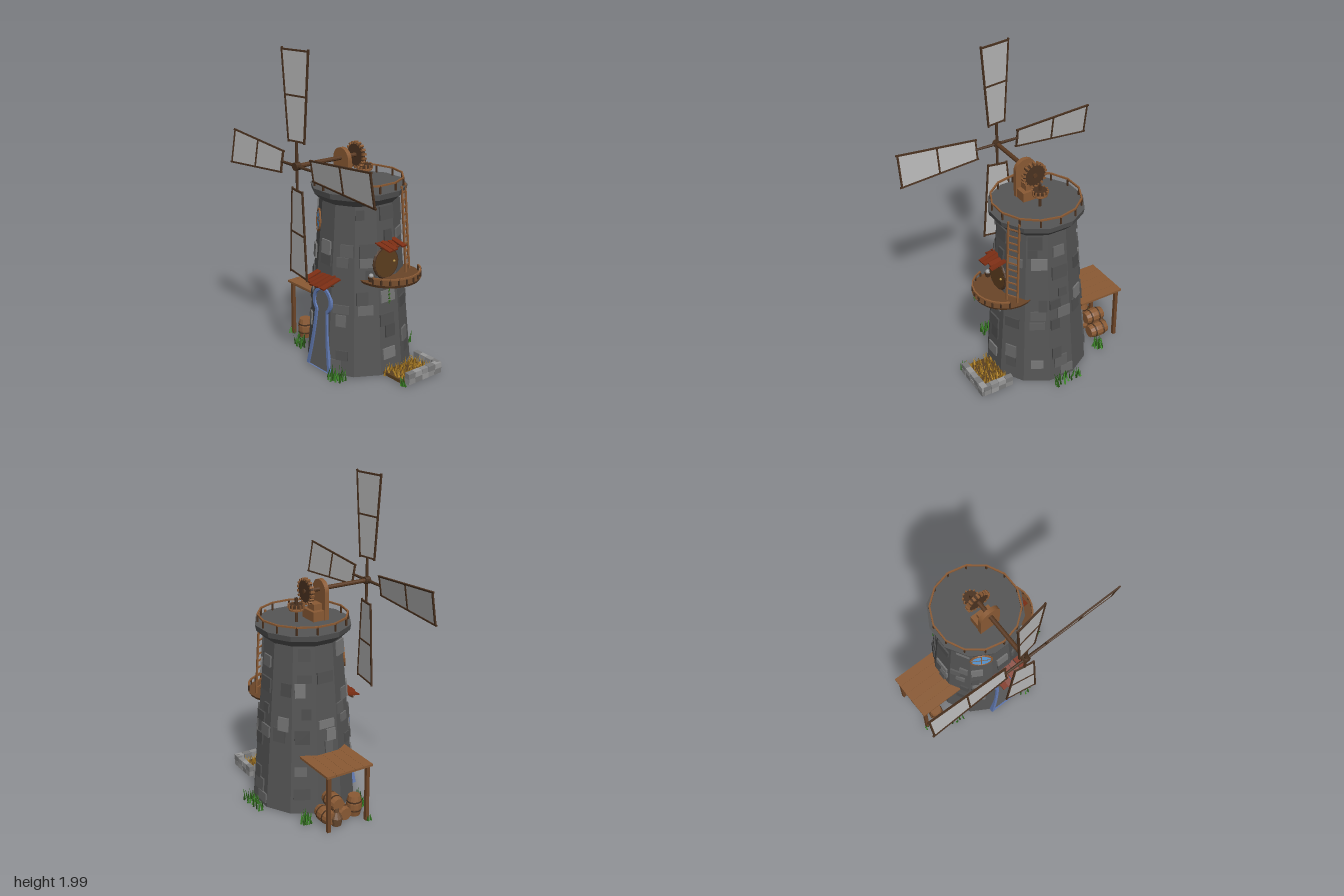
import * as THREE from 'three';

const SIDES = 12, CZ = -0.04, BASE = 0.015;
const mats = {};
const mat = (color) => (mats[color] ??= new THREE.MeshStandardMaterial({ color, flatShading: true, side: THREE.DoubleSide }));
const WOOD = 0x8a5a34, DARK = 0x4a3220, RED = 0x7c2e14, TOWER = 0x555555, BLUE = 0x6078b0;
const V = (x, y, z) => new THREE.Vector3(x, y, z);
let seed = 7;
const rnd = (a = 0, b = 1) => { seed = (seed * 16807) % 2147483647; return a + (b - a) * seed / 2147483647; };

function add(parent, name, geo, color, x = 0, y = 0, z = 0) {
  const m = new THREE.Mesh(geo, mat(color));
  m.name = name;
  m.position.set(x, y, z);
  parent.add(m);
  return m;
}
function group(parent, name, x = 0, y = 0, z = 0) {
  const g = new THREE.Group();
  g.name = name;
  g.position.set(x, y, z);
  parent.add(g);
  return g;
}
const box = (p, name, w, h, d, color, x, y, z) => add(p, name, new THREE.BoxGeometry(w, h, d), color, x, y, z);
const cyl = (p, name, r1, r2, h, n, color, x, y, z) => add(p, name, new THREE.CylinderGeometry(r1, r2, h, n), color, x, y, z);
// Square bar between two points
function bar(p, name, a, b, t, color) {
  const m = box(p, name, t, t, a.distanceTo(b), color);
  m.position.copy(a).add(b).multiplyScalar(0.5);
  m.quaternion.setFromUnitVectors(V(0, 0, 1), b.clone().sub(a).normalize());
  return m;
}
// Wall distance from the tower axis, and placement on the leaning wall
const wall = (y) => 0.315 - 0.078 * y;
function onWall(o, angle, y, out = 0) {
  const r = wall(y) + out;
  o.position.set(Math.sin(angle) * r, y, CZ + Math.cos(angle) * r);
  o.rotation.set(-0.078, angle, 0, 'YXZ');
  return o;
}
// Posts and rail along an arc
function railing(p, cx, y, cz, r, h, from, to, n) {
  const at = (i, yy) => { const a = from + (to - from) * i / n; return V(cx + Math.sin(a) * r, yy, cz + Math.cos(a) * r); };
  for (let i = 0; i <= n; i++) {
    bar(p, 'railPost', at(i, y), at(i, y + h), 0.009, DARK);
    if (i < n) bar(p, 'rail', at(i, y + h), at(i + 1, y + h), 0.01, WOOD);
  }
}

function buildTower(root) {
  const g = group(root, 'tower');
  const k = 1 / Math.cos(Math.PI / SIDES);
  const profile = [[0, BASE], [wall(0), BASE], [wall(1.07), 1.07], [0.278, 1.115], [0.285, 1.15], [0, 1.15]];
  add(g, 'towerWall', new THREE.LatheGeometry(profile.map(([r, y]) => new THREE.Vector2(r * k, y)), SIDES, Math.PI / SIDES), TOWER, 0, 0, CZ);
  railing(g, 0, 1.15, CZ, 0.272, 0.048, 0, Math.PI * 2, 14);
  // Raised stones scattered over the facets
  const greys = [0x4c4c4c, 0x5e5e5e, 0x686868, 0x767676, 0x505050];
  for (let f = 0; f < SIDES; f++) for (let row = 0; row < 14; row++) {
    if (rnd() > 0.45) continue;
    const a = f * Math.PI * 2 / SIDES, y = 0.07 + row * 0.073, w = rnd(0.05, 0.11), h = rnd(0.05, 0.09);
    if (f === 0 && y < 0.62 || f === 11 && Math.abs(y - 0.93) < 0.13 || f === 3 && Math.abs(y - 0.7) < 0.15) continue;
    const s = onWall(box(g, 'stone', w, h, 0.018, greys[Math.floor(rnd(0, 5))]), a, y, 0.002);
    s.translateX(rnd(-0.5, 0.5) * (wall(y) * 0.52 - w));
  }
}

// Keyhole outline: flared foot, narrow neck, round head
function keyhole(path, s) {
  path.moveTo(-0.115 + s, 0);
  path.quadraticCurveTo(-0.07 + s, 0.2, -0.06 + s, 0.37);
  path.absarc(0, 0.44, 0.088 - s, -Math.PI * 0.72, -Math.PI * 0.28, true);
  path.quadraticCurveTo(0.07 - s, 0.2, 0.115 - s, 0);
  path.closePath();
  return path;
}

function buildOpenings(root) {
  // Front door with blue surround
  const door = group(root, 'frontDoor');
  onWall(door, 0, BASE, -0.024);
  const frame = keyhole(new THREE.Shape(), 0);
  frame.holes.push(keyhole(new THREE.Path(), 0.02));
  const ext = (depth) => ({ depth, bevelEnabled: false, curveSegments: 14 });
  add(door, 'doorFrame', new THREE.ExtrudeGeometry(frame, ext(0.038)), BLUE);
  add(door, 'doorPanel', new THREE.ExtrudeGeometry(keyhole(new THREE.Shape(), 0.018), ext(0.027)), 0x606060);
  // Round window
  const win = onWall(group(root, 'roundWindow'), -Math.PI / 6, 0.93, 0.004);
  add(win, 'windowRim', new THREE.TorusGeometry(0.066, 0.007, 6, 20), WOOD);
  add(win, 'windowGlass', new THREE.CircleGeometry(0.066, 20), 0x5a9ad8, 0, 0, 0.003);
  box(win, 'windowBar', 0.007, 0.13, 0.008, WOOD);
  box(win, 'windowBar', 0.13, 0.007, 0.008, WOOD);
  // Round balcony door
  const rd = onWall(group(root, 'balconyDoor'), Math.PI / 2, 0.715, 0.003);
  rd.position.z = -0.03;
  cyl(rd, 'doorDisc', 0.088, 0.088, 0.02, 20, 0x5a3c1e).rotation.x = Math.PI / 2;
  add(rd, 'doorRim', new THREE.TorusGeometry(0.09, 0.01, 6, 20), DARK);
  add(rd, 'doorKnob', new THREE.SphereGeometry(0.008, 8, 6), 0xb08a40, 0.055, 0, 0.015);
  // Ragged plank awnings
  const awning = (angle, y, n, w, len, shift) => {
    const a = group(root, 'awning');
    onWall(a, angle, y, -0.01);
    a.rotation.x = 0.22;
    for (let i = 0; i < n; i++) {
      const l = len * rnd(0.75, 1);
      const p = box(a, 'awningPlank', w * 0.85, 0.01, l, RED, shift + (i - (n - 1) / 2) * w, rnd(-0.004, 0.004), l / 2);
      p.rotation.set(0, rnd(-0.12, 0.12), rnd(-0.15, 0.15));
    }
    box(a, 'awningBeam', n * w, 0.01, 0.012, DARK, shift, -0.01, len * 0.45);
  };
  awning(0, 0.63, 5, 0.044, 0.15, 0.035);
  awning(Math.PI / 2, 0.85, 4, 0.038, 0.13, 0);
}

function buildBalcony(root) {
  const g = group(root, 'balcony');
  cyl(g, 'balconyFloor', 0.2, 0.19, 0.018, 24, 0x6a4528, 0.245, 0.617, -0.07);
  railing(g, 0.245, 0.625, -0.07, 0.193, 0.037, 0.35, Math.PI - 0.35, 9);
  cyl(g, 'pot', 0.02, 0.014, 0.03, 10, DARK, 0.27, 0.64, 0.09);
  add(g, 'lampGlobe', new THREE.SphereGeometry(0.016, 10, 8), 0x999999, 0.27, 0.66, 0.09);
  for (let i = 0; i < 7; i++) {
    const leaf = add(g, 'vineLeaf', new THREE.ConeGeometry(0.006, 0.02, 4), 0x3a6a24, 0.385 + rnd(-0.006, 0.006), 0.6 - i * 0.014, 0.05);
    leaf.rotation.z = rnd(1, 4);
  }
  // Ladder to the roof
  const a = 2.12, s = V(-Math.cos(a), 0, Math.sin(a)).multiplyScalar(0.036);
  const at = (t, side) => {
    const r = 0.315 - 0.035 * t;
    return V(Math.sin(a) * r, 0.615 + 0.55 * t, CZ + Math.cos(a) * r).addScaledVector(s, side);
  };
  for (const side of [-1, 1]) bar(g, 'ladderRail', at(0, side), at(1, side), 0.011, WOOD);
  for (let i = 1; i < 12; i++) bar(g, 'ladderRung', at(i / 12, -1), at(i / 12, 1), 0.008, WOOD);
}

function gear(p, name, r, n, x, y, z) {
  const g = group(p, name, x, y, z);
  cyl(g, 'gearDisc', r * 0.88, r * 0.88, 0.018, 20, DARK);
  for (let i = 0; i < n; i++) {
    const a = i * Math.PI * 2 / n;
    box(g, 'gearTooth', r * 0.16, 0.026, r * 0.2, WOOD, Math.sin(a) * r * 0.9, 0, Math.cos(a) * r * 0.9).rotation.y = a;
  }
  return g;
}

function buildMill(root) {
  // Bearing with rounded head, shaft and gears
  const g = group(root, 'machinery');
  const s = new THREE.Shape();
  s.moveTo(-0.07, 1.15);
  s.lineTo(0.07, 1.15);
  s.absarc(0, 1.32, 0.07, 0, Math.PI, false);
  add(g, 'bearingBoard', new THREE.ExtrudeGeometry(s, { depth: 0.028, bevelEnabled: false }), WOOD, 0, 0, 0.072);
  box(g, 'bearingBlock', 0.13, 0.06, 0.09, WOOD, 0, 1.18, 0.04);
  box(g, 'bearingStep', 0.07, 0.045, 0.06, WOOD, 0, 1.225, 0.045);
  cyl(g, 'shaft', 0.014, 0.014, 0.47, 10, 0x5a3a22, 0, 1.33, 0.2).rotation.x = Math.PI / 2;
  gear(g, 'wheelGear', 0.082, 18, 0, 1.33, -0.02).rotation.x = Math.PI / 2;
  gear(g, 'lanternGear', 0.052, 12, 0, 1.25, -0.085);
  cyl(g, 'lanternCap', 0.045, 0.045, 0.008, 16, WOOD, 0, 1.228, -0.085);
  cyl(g, 'uprightShaft', 0.01, 0.01, 0.15, 8, DARK, 0, 1.225, -0.085);
  // Four pitched sails
  const rotor = group(root, 'sails', 0, 1.33, 0.42);
  cyl(rotor, 'hub', 0.024, 0.024, 0.035, 12, DARK).rotation.x = Math.PI / 2;
  const half = (y) => 0.062 + (y - 0.145) * 0.076;
  for (let k = 0; k < 4; k++) {
    const arm = group(rotor, 'sailArm');
    arm.rotation.z = k * Math.PI / 2;
    const sail = group(arm, 'sail');
    sail.rotation.y = 0.16;
    cyl(sail, 'spoke', 0.008, 0.01, 0.15, 8, DARK, 0, 0.075, 0);
    for (const y of [0.145, 0.405, 0.658]) bar(sail, 'crossBar', V(-half(y) - 0.004, y, 0), V(half(y) + 0.004, y, 0), 0.01, DARK);
    for (const d of [-1, 1]) bar(sail, 'sideBar', V(d * half(0.135), 0.135, 0), V(d * half(0.67), 0.67, 0), 0.01, DARK);
    const c = new THREE.Shape([[-1, 0.145], [1, 0.145], [1, 0.655], [-1, 0.655]].map(([d, y]) => new THREE.Vector2(d * half(y), y)));
    add(sail, 'sailCloth', new THREE.ShapeGeometry(c), 0xb4b4b4);
  }
}

function barrel(p, x, y, z, r, h) {
  const g = group(p, 'barrel', x, y, z);
  const pts = [[0, -0.5], [0.78, -0.5], [1, -0.12], [1, 0.12], [0.78, 0.5], [0, 0.5]].map(([a, b]) => new THREE.Vector2(a * r, b * h));
  add(g, 'barrelBody', new THREE.LatheGeometry(pts, 12), WOOD);
  for (const d of [-1, 1]) cyl(g, 'barrelHoop', r * 0.97, r * 0.97, h * 0.07, 12, DARK, 0, d * h * 0.22, 0);
  return g;
}

function buildShed(root) {
  const g = group(root, 'leanTo');
  for (let i = 0; i < 5; i++) box(g, 'roofPlank', 0.31 - rnd(0, 0.006), 0.014, 0.063, WOOD, -0.395, 0.385, -0.178 + i * 0.064);
  for (const z of [-0.185, 0.085]) {
    box(g, 'post', 0.022, 0.365, 0.022, 0x6e4628, -0.525, 0.197, z);
    bar(g, 'brace', V(-0.525, 0.372, z), V(-0.25, 0.372, z), 0.016, 0x6e4628);
  }
  for (const [x, y, z] of [[-0.42, 0.065, -0.14], [-0.42, 0.065, -0.035], [-0.42, 0.145, -0.088]]) {
    barrel(g, x, y, z, 0.05, 0.13).rotation.z = Math.PI / 2;
  }
  barrel(g, -0.43, 0.08, 0.06, 0.048, 0.13);
  // Jug
  const jug = [[0, 0], [0.03, 0], [0.038, 0.05], [0.014, 0.085], [0.014, 0.11], [0, 0.11]].map(([a, b]) => new THREE.Vector2(a, b));
  add(g, 'jug', new THREE.LatheGeometry(jug, 10), 0x6a4a30, -0.48, BASE, -0.1);
}

function blades(p, name, n, x, z, sx, sz, h, colors) {
  const g = group(p, name, x, 0, z);
  for (let i = 0; i < n; i++) {
    const l = rnd(0.5, 1) * h;
    const b = add(g, 'blade', new THREE.ConeGeometry(0.007, l, 3), colors[i % colors.length], rnd(-sx, sx), BASE + l / 2 - 0.005, rnd(-sz, sz));
    b.rotation.set(rnd(-0.25, 0.25), rnd(0, 3), rnd(-0.25, 0.25));
  }
}

function buildGarden(root) {
  const g = group(root, 'garden');
  const greens = [0x2f6a1e, 0x3f8a2a, 0x285218];
  for (const [x, z, sx, sz] of [[-0.36, -0.24, 0.03, 0.025], [-0.34, 0.16, 0.05, 0.035], [0, -0.4, 0.1, 0.03], [0.18, 0.28, 0.05, 0.045]])
    blades(g, 'grass', 28, x, z, sx, sz, 0.09, greens);
  blades(g, 'grass', 8, 0.5, 0.03, 0.02, 0.01, 0.07, greens);
  blades(g, 'grass', 6, -0.53, 0.09, 0.02, 0.015, 0.06, greens);
  // Straw bed edged by a low stone wall
  box(g, 'soil', 0.18, 0.02, 0.25, 0x5a4020, 0.4, 0.025, -0.1);
  blades(g, 'straw', 170, 0.4, -0.1, 0.08, 0.125, 0.09, [0xa87a20, 0x8a6218, 0xc09030]);
  for (let row = 0; row < 2; row++) for (let i = 0; i < 5; i++) {
    const y = 0.035 + row * 0.034, c = [0x8c8c8c, 0x7a7a7a, 0x9a9a9a][(i + row) % 3];
    box(g, 'wallStone', 0.035 + rnd(0, 0.006), 0.034, 0.052, c, 0.505, y, -0.02 - i * 0.054);
    if (i < 4) box(g, 'wallStone', 0.05, 0.034, 0.03 + rnd(0, 0.006), c, 0.33 + i * 0.052, y, -0.25);
  }
}

export function createModel() {
  const root = new THREE.Group();
  root.name = 'windmill';
  seed = 7;
  for (const build of [buildTower, buildOpenings, buildBalcony, buildMill, buildShed, buildGarden]) build(root);
  return root;
}
